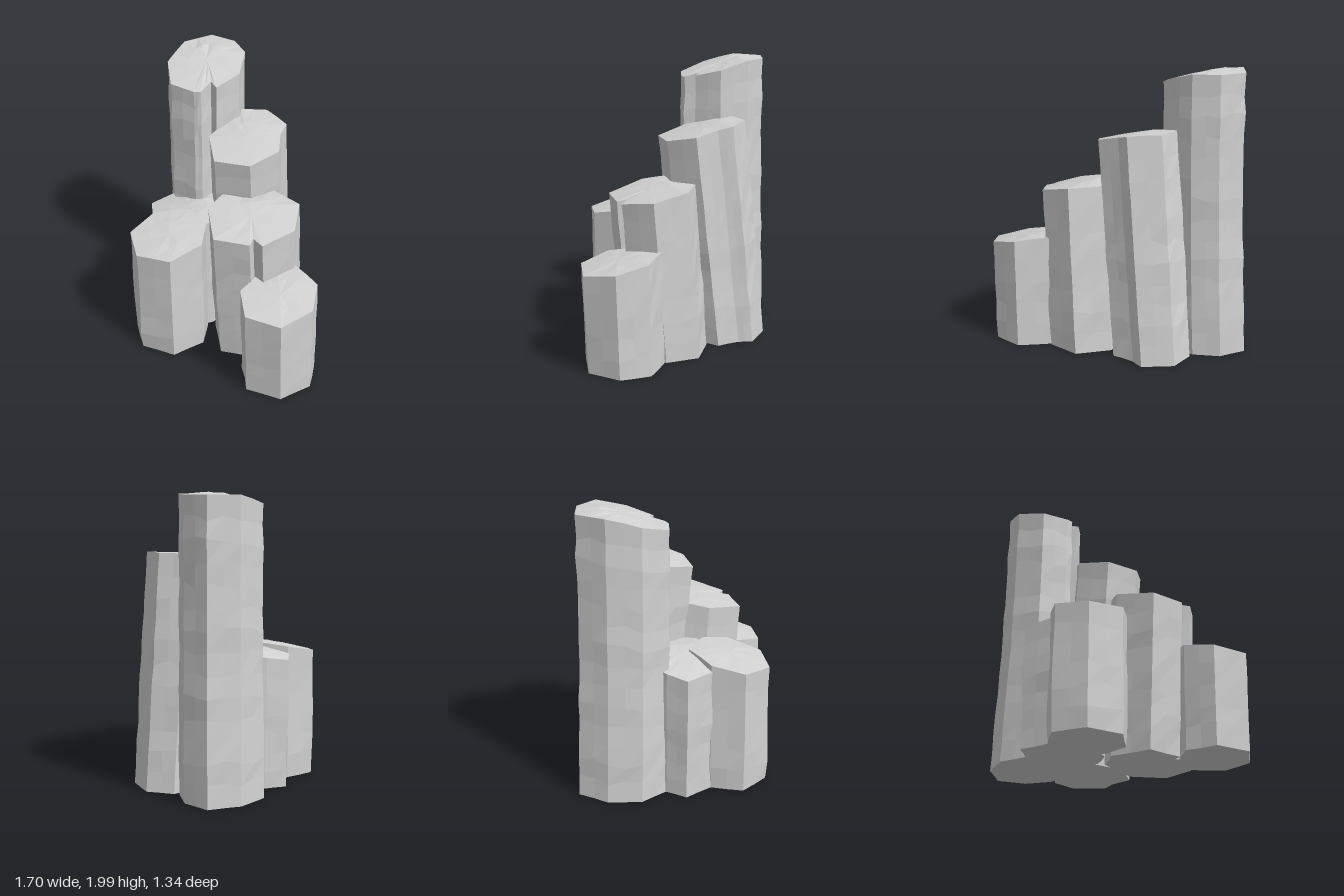
import * as THREE from 'three';

// Each column: outline [x, z] at the top, height at the centre, slope of the
// top along x and z, highest point allowed, lean, widening and bend of the foot.
const COLUMNS = [
  { name: 'tallestColumn', height: 1.945, slope: [-0.12, -0.27], cap: 2, foot: [-0.04, -0.02], splay: 0.04, bend: 2,
    outline: [[-0.73, -0.54], [-0.54, -0.58], [-0.37, -0.5], [-0.26, -0.32], [-0.3, -0.13],
      [-0.37, -0.15], [-0.36, -0.04], [-0.4, -0.01], [-0.58, 0.03], [-0.75, -0.11], [-0.8, -0.33]] },
  { name: 'secondColumn', height: 1.54, slope: [-0.08, -0.23], cap: 1.61, foot: [-0.06, -0.16], splay: 0, bend: 1,
    outline: [[-0.165, -0.51], [0.06, -0.46], [0.09, -0.36], [0.19, -0.23], [0.12, -0.01],
      [-0.11, 0.1], [-0.3, -0.05], [-0.31, -0.23], [-0.32, -0.39]] },
  { name: 'thirdColumn', height: 1.155, slope: [-0.1, -0.19], cap: 1.21, foot: [-0.02, -0.08], splay: 0, bend: 1,
    outline: [[0.14, -0.22], [0.4, -0.215], [0.53, -0.01], [0.45, 0.23], [0.36, 0.22],
      [0.38, 0.28], [0.155, 0.395], [-0.07, 0.21], [-0.08, 0.02]] },
  { name: 'lowestColumn', height: 0.75, slope: [-0.1, -0.2], cap: 0.82, foot: [0, -0.02], splay: 0, bend: 1,
    outline: [[0.5, -0.06], [0.74, -0.02], [0.855, 0.17], [0.78, 0.41], [0.535, 0.495],
      [0.365, 0.355], [0.365, 0.16]] },
  { name: 'frontColumn', height: 0.92, slope: [0, -0.2], cap: 0.98, foot: [0, 0], splay: 0, bend: 1,
    outline: [[-0.355, 0.115], [-0.13, 0.17], [-0.02, 0.33], [-0.09, 0.575], [-0.33, 0.665],
      [-0.535, 0.53], [-0.535, 0.3]] },
  { name: 'innerColumn', height: 0.935, slope: [0.15, -0.1], cap: 0.97, foot: [0, -0.01], splay: 0, bend: 1,
    outline: [[-0.55, -0.16], [-0.3, -0.18], [-0.14, -0.04], [-0.13, 0.12], [-0.22, 0.3],
      [-0.53, 0.31], [-0.69, 0.17], [-0.645, 0.02]] },
];
const CROWN = 0.015; // how far the top rises inside its rim

function seeded(seed) {
  return () => {
    seed = (seed * 16807) % 2147483647;
    return seed / 2147483647 - 0.5;
  };
}

function middle(values) {
  return (Math.min(...values) + Math.max(...values)) / 2;
}

function columnGeometry({ outline, height, slope, cap, foot, splay, bend }, rand) {
  const n = outline.length * 2;
  const cx = middle(outline.map((p) => p[0]));
  const cz = middle(outline.map((p) => p[1]));
  const rimY = (x, z) => Math.min(cap - CROWN, height + slope[0] * (x - cx) + slope[1] * (z - cz));

  // corners plus the middle of every side
  const rim = outline.flatMap(([x, z], i) => {
    const q = outline[(i + 1) % outline.length];
    return [[x, z], [(x + q[0]) / 2, (z + q[1]) / 2]];
  });

  // rings from foot to rim, each chipped a little
  const levels = Math.round(height * 7);
  const rings = [];
  for (let l = 0; l <= levels; l++) {
    const t = l / levels;
    const lean = Math.pow(1 - t, bend);
    const wear = l === levels ? 0 : 1;
    const swell = 1 + splay * lean + wear * rand() * 0.025;
    rings.push(rim.map(([x, z]) => {
      const rough = swell + wear * rand() * 0.03;
      const chip = l > 0 ? wear * rand() * 0.05 : 0;
      return [cx + (x - cx) * rough + foot[0] * lean,
        0.01 + (rimY(x, z) - 0.01) * t + chip,
        cz + (z - cz) * rough + foot[1] * lean];
    }));
  }

  // worn inner ring and centre of the top
  const inner = rim.map(([x, z]) => {
    const k = 0.5 + rand() * 0.06;
    const ix = cx + (x - cx) * k, iz = cz + (z - cz) * k;
    return [ix, rimY(ix, iz) + CROWN + (rand() - 0.5) * 0.008, iz];
  });
  const centre = [cx, rimY(cx, cz) + CROWN, cz];
  const base = [cx + foot[0], 0.01, cz + foot[1]];

  const pos = [];
  const tri = (...pts) => pts.forEach((p) => pos.push(...p));
  const band = (a, b) => {
    for (let i = 0; i < n; i++) {
      const j = (i + 1) % n;
      tri(a[j], a[i], b[i]);
      tri(a[j], b[i], b[j]);
    }
  };
  for (let l = 0; l < levels; l++) band(rings[l], rings[l + 1]);
  band(rings[levels], inner);
  for (let i = 0; i < n; i++) {
    const j = (i + 1) % n;
    tri(centre, inner[j], inner[i]);
    tri(base, rings[0][i], rings[0][j]);
  }
  const geometry = new THREE.BufferGeometry();
  geometry.setAttribute('position', new THREE.Float32BufferAttribute(pos, 3));
  geometry.computeVertexNormals();
  return geometry;
}

export function createModel() {
  const group = new THREE.Group();
  group.name = 'basaltColumns';
  const stone = new THREE.MeshStandardMaterial({ color: 0xd2d2d2, flatShading: true });
  stone.name = 'light grey stone';
  COLUMNS.forEach((column, i) => {
    const mesh = new THREE.Mesh(columnGeometry(column, seeded(4021 + i * 977)), stone);
    mesh.name = column.name;
    group.add(mesh);
  });
  return group;
}
